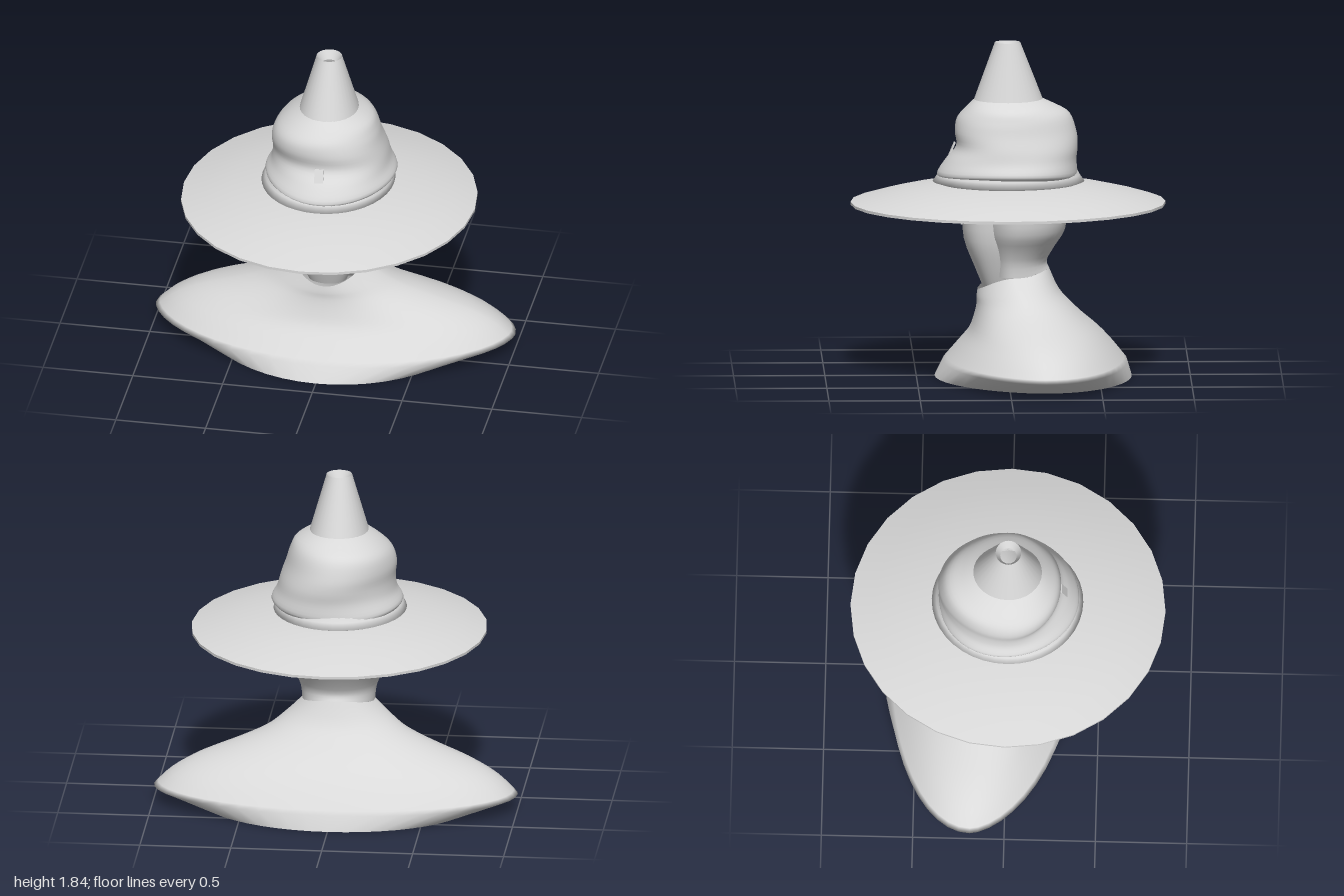
import * as THREE from 'three';

const clay = new THREE.MeshStandardMaterial({ color: 0xd9d9d9, side: THREE.DoubleSide });
clay.name = 'pale grey';

// Loft through cross-sections listed from top to bottom.
// Row: y, left (+x) and right (-x) half widths, front z, back z, centre z,
// then optional height offsets of the ring at its front and back.
function loft(name, rows, { sides = 40, arc = Math.PI * 2, power = 1, bump } = {}) {
  const closed = arc > 6;
  const count = closed ? sides : sides + 1;
  const pos = [], index = [];
  rows.forEach(([y, xl, xr, zf, zb, zc, dyF = 0, dyB = 0]) => {
    for (let j = 0; j < count; j++) {
      const a = (j / sides) * arc, c = Math.cos(a), s = Math.sin(a);
      const k = bump ? bump(a, y) : 1;
      const depth = s > 0 ? (zf - zc) * Math.pow(s, power) : (zc - zb) * s;
      pos.push((c > 0 ? xl : xr) * c * k, y + (s > 0 ? dyF : dyB) * s * s, zc + depth * k);
    }
  });
  for (let i = 0; i < rows.length - 1; i++) {
    for (let j = 0; j < sides; j++) {
      const n = closed ? (j + 1) % count : j + 1;
      const a = i * count + j, b = i * count + n, c = a + count, d = b + count;
      index.push(a, b, d, a, d, c);
    }
  }
  const geo = new THREE.BufferGeometry();
  geo.setAttribute('position', new THREE.Float32BufferAttribute(pos, 3));
  geo.setIndex(index);
  geo.computeVertexNormals();
  const mesh = new THREE.Mesh(geo, clay);
  mesh.name = name;
  return mesh;
}

// Smoothly resample a short list of rows
function refine(rows, n) {
  const out = [];
  for (let k = 0; k <= (rows.length - 1) * n; k++) {
    const i = Math.min(Math.floor(k / n), rows.length - 2), t = k / n - i;
    const p0 = rows[Math.max(i - 1, 0)], p1 = rows[i], p2 = rows[i + 1];
    const p3 = rows[Math.min(i + 2, rows.length - 1)];
    out.push(p1.map((v, m) => v + 0.5 * t * (p2[m] - p0[m]
      + t * (2 * p0[m] - 5 * v + 4 * p2[m] - p3[m] + t * (3 * (v - p2[m]) + p3[m] - p0[m])))));
  }
  return out;
}

export function createModel() {
  const group = new THREE.Group();
  group.name = 'hattedBust';

  // Open shoulder shell, tucked under at the shoulder tips
  const upper = refine([
    [0.56, 0.20, 0.20, 0.165, -0.225, -0.03, -0.08, 0.04],
    [0.48, 0.29, 0.29, 0.17, -0.28, -0.06, -0.04, 0],
    [0.40, 0.40, 0.40, 0.17, -0.35, -0.10, 0, 0],
    [0.33, 0.56, 0.56, 0.185, -0.42, -0.13, 0, 0],
    [0.25, 0.77, 0.77, 0.215, -0.51, -0.16, 0, 0],
    [0.17, 0.91, 0.91, 0.28, -0.585, -0.18, 0, 0],
    [0.085, 1.0, 1.0, 0.355, -0.655, -0.19, 0, 0],
  ], 3);
  group.add(loft('shoulders', [...upper, [0, 0.74, 0.74, 0.40, -0.68, -0.19]],
    { sides: 48, power: 1.2 }));

  // Neck and back of the head, open at both ends
  group.add(loft('head', refine([
    [1.06, 0.31, 0.31, 0.14, -0.33, -0.05, 0, 0],
    [0.94, 0.31, 0.31, 0.14, -0.33, -0.05, 0, 0],
    [0.81, 0.295, 0.295, 0.13, -0.315, -0.05, 0, 0],
    [0.72, 0.245, 0.245, 0.11, -0.26, -0.04, 0, 0],
    [0.64, 0.21, 0.21, 0.09, -0.215, -0.03, 0, 0],
    [0.56, 0.20, 0.20, 0.08, -0.225, -0.03, 0, 0.04],
  ], 3)));

  // Face tapering to a flat chin
  group.add(loft('face', refine([
    [1.04, 0.215, 0.215, 0.25, 0, -0.03],
    [0.94, 0.215, 0.215, 0.25, 0, -0.03],
    [0.76, 0.20, 0.20, 0.24, 0, -0.03],
    [0.60, 0.155, 0.155, 0.18, 0, -0.03],
    [0.48, 0.11, 0.11, 0.13, 0, -0.03],
  ], 3), { sides: 24, arc: Math.PI, power: 0.45 }));

  // Wide domed brim: upper and lower skins
  const brim = [
    [1.068, 0.30, 0.30, 0.33, -0.35, 0],
    [1.06, 0.38, 0.38, 0.42, -0.44, 0],
    [1.035, 0.53, 0.53, 0.57, -0.58, 0],
    [1.0, 0.68, 0.68, 0.72, -0.73, 0],
    [0.96, 0.81, 0.81, 0.86, -0.865, 0],
  ];
  group.add(loft('brimTop', brim, { sides: 28 }));
  const under = brim.map(([y, ...r]) => [y - 0.015, ...r]).reverse();
  group.add(loft('brimUnderside', under, { sides: 28 }));
  group.add(loft('brimEdge', [brim[4], under[0]], { sides: 28 }));

  // Flared band at the foot of the crown
  group.add(loft('hatBand', [
    [1.15, 0.335, 0.315, 0.36, -0.375, 0],
    [1.11, 0.355, 0.35, 0.385, -0.395, 0],
    [1.075, 0.36, 0.37, 0.41, -0.42, 0],
    [1.06, 0.33, 0.34, 0.36, -0.38, 0],
  ]));

  // Slouched crown with soft twisting folds
  const fold = (a, y) => 1 + 0.02 * Math.sin(3 * a + 14 * y) * Math.min(1, (1.53 - y) * 8);
  group.add(loft('crown', refine([
    [1.53, 0.15, 0.15, 0.18, -0.19, 0, 0, 0],
    [1.48, 0.235, 0.23, 0.23, -0.255, 0, 0, 0.02],
    [1.42, 0.265, 0.295, 0.28, -0.335, -0.01, 0, 0.03],
    [1.35, 0.29, 0.315, 0.295, -0.37, -0.02, 0, 0],
    [1.27, 0.325, 0.305, 0.285, -0.38, -0.02, 0, 0],
    [1.20, 0.345, 0.315, 0.335, -0.38, -0.01, 0, 0],
    [1.14, 0.37, 0.35, 0.38, -0.39, 0, -0.02, -0.02],
    [1.11, 0.335, 0.33, 0.35, -0.375, 0, -0.02, -0.02],
  ], 4), { sides: 56, bump: fold }));

  // Open-ended cone tip
  group.add(loft('hatTip', [
    [1.84, 0.07, 0.07, 0.07, -0.07, 0],
    [1.51, 0.165, 0.165, 0.19, -0.20, 0],
  ], { sides: 32 }));
  group.add(loft('hatTipLining', [
    [1.84, 0.07, 0.07, 0.07, -0.07, 0],
    [1.79, 0.045, 0.045, 0.045, -0.045, 0],
  ], { sides: 32 }));

  // Small upright tabs on the hat front and the brow
  const tab = (name, y, z, h, tilt) => {
    const mesh = new THREE.Mesh(new THREE.BoxGeometry(0.05, h, 0.009), clay);
    mesh.name = name;
    mesh.position.set(0, y, z);
    mesh.rotation.x = tilt;
    group.add(mesh);
  };
  tab('hatTab', 1.25, 0.305, 0.08, -0.4);
  tab('browTab', 0.89, 0.252, 0.11, 0);

  return group;
}
